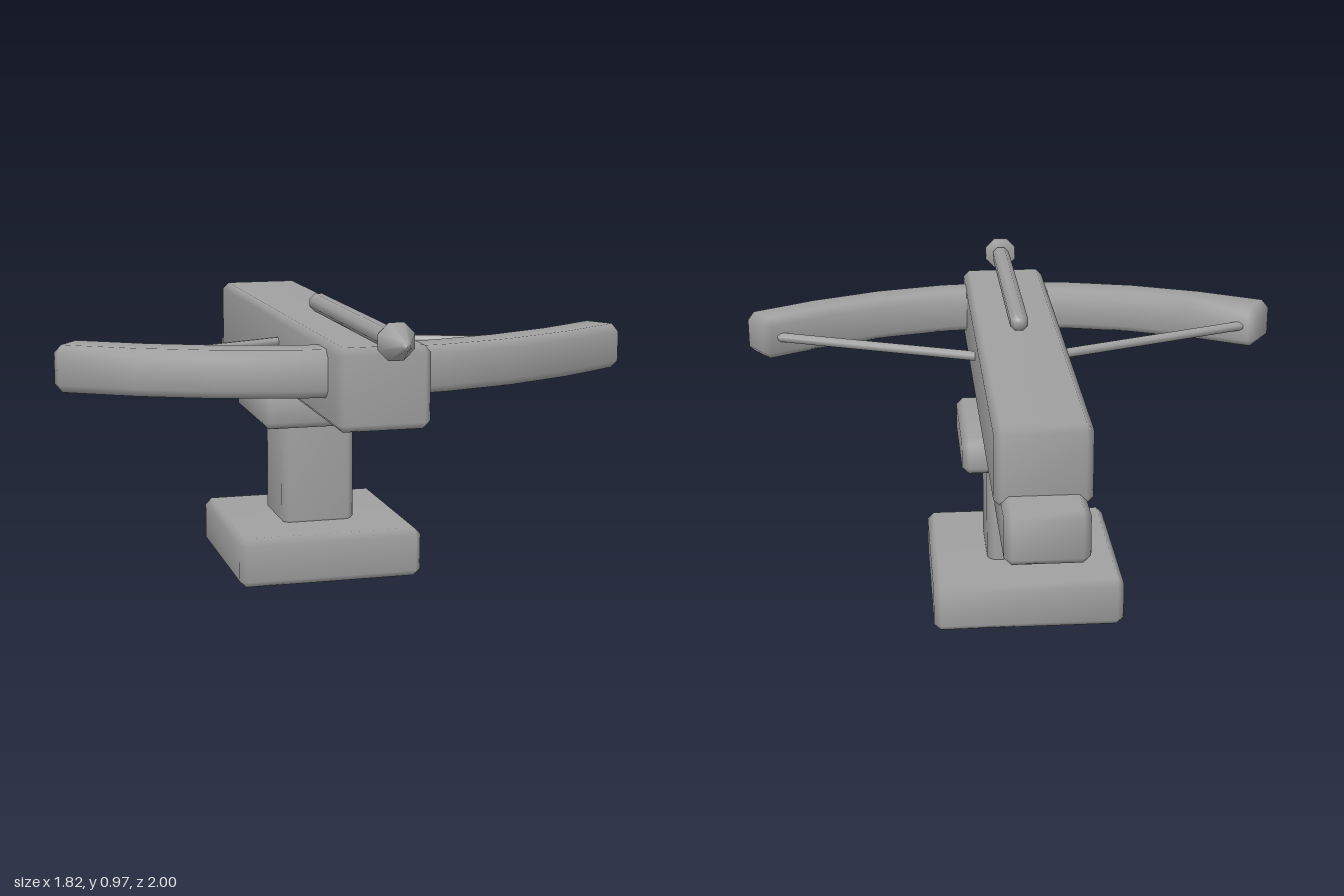
import * as THREE from 'three';
import { mergeVertices } from 'three/addons/utils/BufferGeometryUtils.js';

// Skin over octagonal rings; each ring is { o, u, v, w, h, c }:
// origin, two axes, half sizes along them and the corner chamfer.
function loft(rings) {
  const pos = [], index = [], n = 8;
  for (const { o, u, v, w, h, c } of rings) {
    const corners = [[w, c - h], [w, h - c], [w - c, h], [c - w, h], [-w, h - c], [-w, c - h], [c - w, -h], [w - c, -h]];
    for (const [a, b] of corners) {
      const p = o.clone().addScaledVector(u, a).addScaledVector(v, b);
      pos.push(p.x, p.y, p.z);
    }
  }
  for (let i = 0; i < rings.length - 1; i++) {
    for (let j = 0; j < n; j++) {
      const a = i * n + j, b = i * n + (j + 1) % n;
      index.push(a, b, b + n, a, b + n, a + n);
    }
  }
  const last = (rings.length - 1) * n;
  for (let j = 1; j < n - 1; j++) {
    index.push(0, j + 1, j, last, last + j, last + j + 1);
  }
  const g = new THREE.BufferGeometry();
  g.setAttribute('position', new THREE.Float32BufferAttribute(pos, 3));
  g.setIndex(index);
  const merged = mergeVertices(g, 1e-4);
  merged.computeVertexNormals();
  return merged;
}

// Box with chamfered edges and soft shading, given by its limits
function bevelBox(halfX, y0, y1, z0, z1, c = 0.022) {
  const u = new THREE.Vector3(1, 0, 0), v = new THREE.Vector3(0, 1, 0);
  const w = halfX, h = (y1 - y0) / 2, y = (y0 + y1) / 2;
  const ring = (z, inset) => ({
    o: new THREE.Vector3(0, y, z), u, v, w: w - inset, h: h - inset, c: c - inset,
  });
  return loft([ring(z0, c), ring(z0 + c, 0), ring(z1 - c, 0), ring(z1, c)]);
}

// Bow limb: straight segments along a parabola, chamfered at both tips
function bowGeometry() {
  const half = 0.0725, c = 0.025, y = 0.7875, tip = 0.885, steps = 4;
  const up = new THREE.Vector3(0, 1, 0);
  const ring = (x, inset, shift = 0) => {
    const t = new THREE.Vector3(1, 0, -0.77 * x).normalize();
    return {
      o: new THREE.Vector3(x, y, 0.63 - 0.385 * x * x).addScaledVector(t, shift),
      u: up.clone().cross(t), v: up, w: half - inset, h: half - inset, c: c - inset,
    };
  };
  const rings = [ring(-tip, c), ring(-tip, 0, c)];
  for (let k = 1 - steps; k < steps; k++) rings.push(ring(k * tip / steps, 0));
  rings.push(ring(tip, 0, -c), ring(tip, c));
  return loft(rings);
}

// Turned part lying along z, from [radius, z] pairs
function turned(profile) {
  const g = new THREE.LatheGeometry(profile.map(([r, z]) => new THREE.Vector2(r, z)), 8, Math.PI / 8);
  return g.rotateX(Math.PI / 2);
}

export function createModel() {
  const model = new THREE.Group();
  model.name = 'mountedCrossbow';
  const grey = new THREE.MeshStandardMaterial({ color: 0xa0a0a0 });
  grey.name = 'plain grey';

  const add = (name, geometry, y = 0) => {
    const mesh = new THREE.Mesh(geometry, grey);
    mesh.name = name;
    mesh.position.y = y;
    model.add(mesh);
    return mesh;
  };

  // Stand
  add('base', bevelBox(0.31, 0, 0.165, -0.41, 0.21));
  add('column', bevelBox(0.125, 0.15, 0.52, -0.225, 0.025));
  add('columnCap', bevelBox(0.208, 0.505, 0.63, -0.307, 0.107));

  // Body
  add('stock', bevelBox(0.145, 0.63, 0.88, -0.87, 0.795));
  add('rearGrip', bevelBox(0.125, 0.505, 0.67, -1, -0.58));
  add('bow', bowGeometry());

  // Bowstring halves, running from the limbs into the stock
  for (const side of [1, -1]) {
    const a = new THREE.Vector3(side * 0.09, 0.79, 0.025);
    const b = new THREE.Vector3(side * 0.84, 0.79, 0.32);
    const string = add(side > 0 ? 'leftString' : 'rightString',
      new THREE.CylinderGeometry(0.016, 0.016, a.distanceTo(b), 8));
    string.position.copy(a).lerp(b, 0.5);
    string.quaternion.setFromUnitVectors(new THREE.Vector3(0, 1, 0), b.clone().sub(a).normalize());
  }

  // Bolt
  add('boltShaft', turned([[0, 0], [0.016, 0], [0.032, 0.018], [0.032, 0.862], [0.016, 0.885], [0, 0.885]]), 0.912);
  add('boltHead', turned([[0, 0.878], [0.055, 0.878], [0.06, 0.895], [0.014, 0.992], [0, 1]]), 0.912);

  return model;
}
